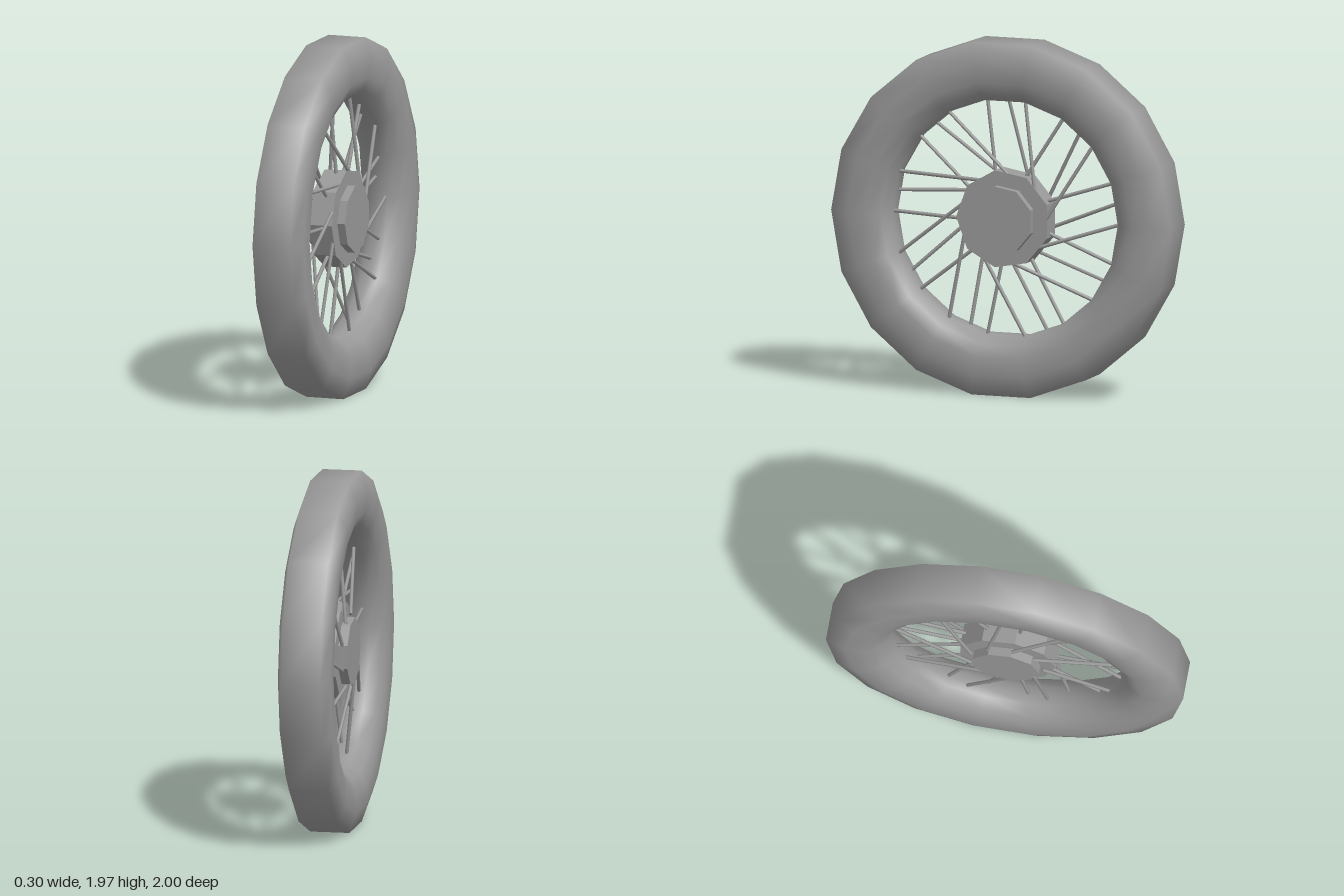
import * as THREE from 'three';

const CENTER_Y = 0.985;
const smooth = new THREE.MeshStandardMaterial({ color: 0x999999 });
const flat = new THREE.MeshStandardMaterial({ color: 0x999999, flatShading: true });

// Point on the wheel: angle in degrees from +z towards +y, radius, axial offset
function polar(deg, r, x) {
  const a = THREE.MathUtils.degToRad(deg);
  return new THREE.Vector3(x, r * Math.sin(a), r * Math.cos(a));
}

// Nine-sided disc on the axle, spanning x0 to x1
function disc(name, r, x0, x1) {
  const geo = new THREE.CylinderGeometry(r, r, x1 - x0, 9);
  geo.rotateZ(-Math.PI / 2).translate((x0 + x1) / 2, 0, 0);
  const mesh = new THREE.Mesh(geo, flat);
  mesh.name = name;
  return mesh;
}

// Thin rod between two points
function rod(name, a, b) {
  const dir = b.clone().sub(a);
  const mesh = new THREE.Mesh(new THREE.CylinderGeometry(0.0105, 0.0105, dir.length(), 6), smooth);
  mesh.position.copy(a).add(b).multiplyScalar(0.5);
  mesh.quaternion.setFromUnitVectors(new THREE.Vector3(0, 1, 0), dir.normalize());
  mesh.name = name;
  return mesh;
}

export function createModel() {
  const model = new THREE.Group();
  model.name = 'spokedWheel';
  const wheel = new THREE.Group();
  wheel.name = 'wheel';
  wheel.position.y = CENTER_Y;
  model.add(wheel);

  // Tyre: closed rounded section (radius, axial) swept in 18 steps
  const half = [[0.665, 0], [0.665, 0.05], [0.71, 0.11], [0.78, 0.143], [0.89, 0.148], [1, 0.11]];
  const section = [
    ...half.map(([r, x]) => new THREE.Vector2(r, -x)),
    ...half.map(([r, x]) => new THREE.Vector2(r, x)).reverse(),
  ];
  const tyre = new THREE.Mesh(new THREE.LatheGeometry(section, 18).rotateZ(-Math.PI / 2), smooth);
  tyre.name = 'tyre';
  wheel.add(tyre);

  // Hub: wide drum with a smaller cap on each side
  const hub = new THREE.Group();
  hub.name = 'hub';
  hub.add(disc('hubDrum', 0.275, -0.05, 0.08));
  hub.add(disc('rightCap', 0.19, -0.1, -0.05));
  hub.add(disc('leftCap', 0.19, 0.08, 0.125));
  wheel.add(hub);

  // Spokes: nine groups of three, each leaning differently
  const spokes = new THREE.Group();
  spokes.name = 'spokes';
  for (let k = 0; k < 9; k++) {
    const a = k * 40;
    spokes.add(rod('middleSpoke', polar(a - 4, 0.255, 0.025), polar(a, 0.667, 0.01)));
    spokes.add(rod('rightSpoke', polar(a + 40, 0.205, -0.075), polar(a + 10, 0.657, -0.015)));
    spokes.add(rod('leftSpoke', polar(a + 57, 0.25, 0.07), polar(a + 20, 0.667, 0.035)));
  }
  wheel.add(spokes);

  return model;
}
